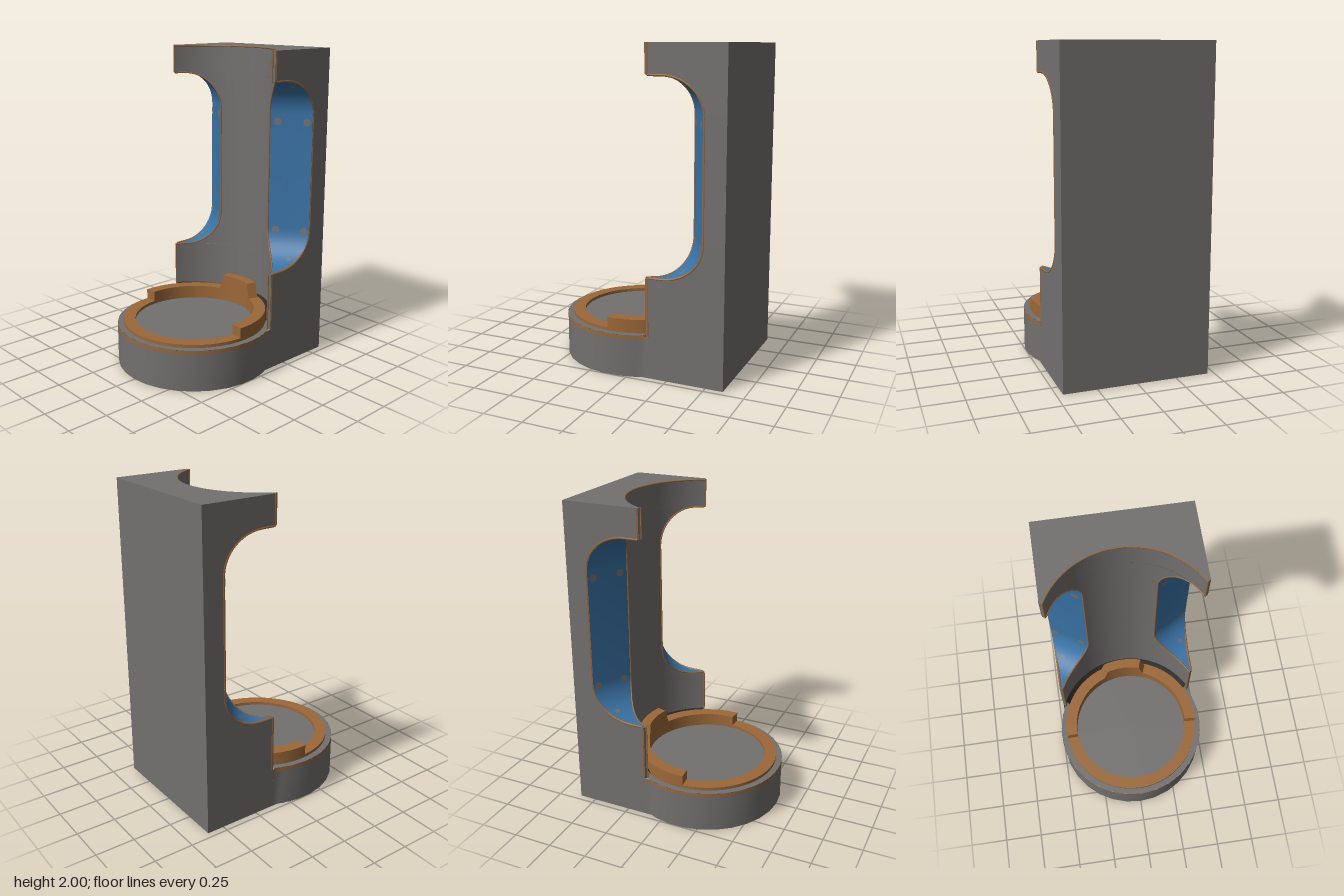
import * as THREE from 'three';
import { toCreasedNormals } from 'three/addons/utils/BufferGeometryUtils.js';

const mat = (name, color) => new THREE.MeshStandardMaterial({ name, color, side: THREE.DoubleSide });
const V = (x, y, z) => new THREE.Vector3(x, y, z);

const W = 0.46, BACK = -0.61, FRONT = -0.12, TOP = 2; // block limits
const CZ = 0.11, R = 0.495, FLOOR = 0.265; // cradle axis, cradle radius, base top
const S0 = 0.126, S1 = -0.176, FILLET = 0.23; // side cut-out depths, measured along its tilted normal
const C = Math.cos(Math.PI / 6), H = 0.5;

// Surface through rows of points
function loft(rows) {
  const n = rows[0].length, index = [];
  for (let i = 0; i < rows.length - 1; i++) {
    for (let j = 0; j < n - 1; j++) {
      const a = i * n + j, b = a + n;
      index.push(a, a + 1, b + 1, a, b + 1, b);
    }
  }
  const g = new THREE.BufferGeometry().setFromPoints(rows.flat());
  g.setIndex(index);
  g.computeVertexNormals();
  return g;
}

// Where the cut-out meets the outer side and the concave wall
const outerPoint = (s, y) => V(W, y, (s - H * W) / C);
function innerPoint(s, y) {
  const h = s - C * CZ, k = Math.sqrt(R * R - h * h);
  return V(H * h + C * k, y, CZ + C * h - H * k);
}

// Cut-out profile as [depth, height], bottom to top
function cutProfile() {
  const low = [[S0, 0.63]];
  for (let i = 0; i <= 12; i++) {
    const t = i / 12 * Math.PI / 2;
    low.push([S1 + FILLET * (1 - Math.sin(t)), 0.63 + FILLET * (1 - Math.cos(t))]);
  }
  return [...low, ...low.map(([s, y]) => [s, 2.45 - y]).reverse()];
}

// Ring sector centred on the back, lying flat and rising from y
function sector(r0, r1, half, y, height) {
  const s = new THREE.Shape();
  s.absarc(0, 0, r1, Math.PI / 2 - half, Math.PI / 2 + half, false);
  s.absarc(0, 0, r0, Math.PI / 2 + half, Math.PI / 2 - half, true);
  const g = new THREE.ExtrudeGeometry(s, { depth: height, bevelEnabled: false, curveSegments: 30 });
  return g.rotateX(-Math.PI / 2).translate(0, y, CZ);
}

export function createModel() {
  const model = new THREE.Group();
  model.name = 'cradleStand';
  const grey = mat('bodyGrey', 0x737170), orange = mat('trimOrange', 0x9c6838);
  const blue = mat('cutoutBlue', 0x3a73a6), dark = mat('charcoal', 0x2e2e2e);
  const add = (name, geometry, material) => {
    const m = new THREE.Mesh(geometry, material);
    m.name = name;
    model.add(m);
    return m;
  };
  const tube = (name, pts, r) => {
    const path = new THREE.CurvePath();
    for (let i = 1; i < pts.length; i++) path.add(new THREE.LineCurve3(pts[i - 1], pts[i]));
    add(name, new THREE.TubeGeometry(path, 160, r, 6), orange);
  };

  const cut = cutProfile();
  const full = [[S0, FLOOR], ...cut, [S0, TOP]];

  // Back wall
  add('backWall', loft([[V(W, 0, BACK), V(-W, 0, BACK)], [V(W, TOP, BACK), V(-W, TOP, BACK)]]), grey);

  // Concave front wall, narrowed by the cut-outs
  add('concaveWall', loft(full.map(([s, y]) => {
    const p = innerPoint(s, y), a = Math.atan2(p.x, CZ - p.z), row = [];
    for (let j = 0; j <= 32; j++) {
      const t = a * (j / 16 - 1);
      row.push(V(R * Math.sin(t), y, CZ - R * Math.cos(t)));
    }
    return row;
  })), grey);

  // Top with the concave edge
  const corner = innerPoint(S0, 0), a0 = Math.atan2(corner.x, CZ - corner.z);
  const top = new THREE.Shape();
  const rim = [];
  for (let j = 0; j <= 32; j++) {
    const t = a0 * (j / 16 - 1);
    rim.push(V(R * Math.sin(t), TOP - 0.005, CZ - R * Math.cos(t)));
  }
  top.setFromPoints([[W, -BACK], [-W, -BACK], [-W, -FRONT]].map(([x, y]) => new THREE.Vector2(x, y))
    .concat(rim.map(p => new THREE.Vector2(p.x, -p.z)), [new THREE.Vector2(W, -FRONT)]));
  add('topFace', new THREE.ShapeGeometry(top).rotateX(-Math.PI / 2).translate(0, TOP, 0), grey);
  tube('topTrim', rim, 0.005);

  for (const m of [1, -1]) {
    const side = m > 0 ? 'left' : 'right';
    const flip = p => V(p.x * m, p.y, p.z);

    // Side wall, cut-out lining and front edges
    const wallPoints = [[S0, 0], ...full];
    add(side + 'Wall', loft(wallPoints.map(([s, y]) => [V(W * m, y, BACK), flip(outerPoint(s, y))])), grey);
    add(side + 'Cutout', toCreasedNormals(
      loft(cut.map(([s, y]) => [flip(innerPoint(s, y)), flip(outerPoint(s, y))])), 0.6), blue);
    for (const [y0, y1] of [[FLOOR, 0.63], [1.82, TOP]]) {
      add(side + 'FrontEdge', loft([y0, y1].map(y => [flip(innerPoint(S0, y)), flip(outerPoint(S0, y))])), grey);
    }

    // Orange edging
    tube(side + 'OuterTrim', full.map(([s, y]) => flip(outerPoint(s, y).add(V(-0.005, 0, -0.008)))), 0.008);
    tube(side + 'InnerTrim', full.map(([s, y]) => flip(innerPoint(s, y))), 0.005);

    // Round spots on the cut-out lining
    const spots = [[0.27, 1.545], [0.43, 1.545], [0.27, 0.84], [0.43, 0.84], [0.41, 0.675], [0.41, 1.775]];
    for (const [x, y] of spots) {
      const yc = Math.min(Math.max(y, 0.86), 1.59), dy = (yc - y) / FILLET;
      const k = Math.sqrt(1 - dy * dy), s = S1 + FILLET * (1 - k);
      const normal = V(H * k * m, dy, C * k);
      const spot = add(side + 'Spot', new THREE.CircleGeometry(Math.abs(dy) > 0.5 ? 0.016 : 0.024, 16), grey);
      spot.position.set(x * m, y, (s - H * x) / C).addScaledVector(normal, 0.004);
      spot.lookAt(spot.position.clone().add(normal));
    }
  }

  // Base skirt, open below, with an orange band near its top
  const outline = [[-W, FRONT], [-W, -0.079]];
  for (let i = -9; i <= 9; i++) {
    const t = i * Math.PI / 15;
    outline.push([0.5 * Math.sin(t), CZ + 0.5 * Math.cos(t)]);
  }
  outline.push([W, -0.079], [W, FRONT]);
  const skirt = (name, y0, y1, material) =>
    add(name, loft([y0, y1].map(y => outline.map(([x, z]) => V(x, y, z)))), material);
  skirt('baseSkirt', 0, 0.24, grey);
  skirt('baseBand', 0.24, 0.26, orange);
  skirt('baseLip', 0.26, FLOOR, grey);

  // Floor and the dark ring beneath it
  add('floor', new THREE.CircleGeometry(0.5, 30).rotateX(-Math.PI / 2).translate(0, FLOOR, CZ), grey);
  add('underRing', new THREE.RingGeometry(0.385, 0.49, 60).rotateX(-Math.PI / 2).translate(0, 0.257, CZ), dark);

  // Seat ring: low all round, raised at the back, with a tapered tab
  add('seatRing', toCreasedNormals(sector(0.385, 0.46, Math.PI, FLOOR, 0.02), 0.5), orange);
  add('raisedRing', toCreasedNormals(sector(0.385, 0.46, Math.PI / 2 + 0.07, FLOOR, 0.085), 0.5), orange);
  const tab = sector(0.385, 0.45, 0.37, 0.35, 0.095), p = tab.attributes.position;
  for (let i = 0; i < p.count; i++) {
    if (p.getY(i) < 0.4) continue;
    const x = p.getX(i), z = p.getZ(i) - CZ, r = Math.hypot(x, z), t = Math.atan2(x, -z) * 0.8;
    p.setXYZ(i, r * Math.sin(t), p.getY(i), CZ - r * Math.cos(t));
  }
  add('backTab', toCreasedNormals(tab, 0.5), orange);

  // Dark sloping gap between ring and concave wall
  add('backGap', loft([[0.46, 0.275], [0.494, 0.345]].map(([r, y]) => {
    const row = [];
    for (let j = 0; j <= 32; j++) {
      const t = 1.09 * (j / 16 - 1);
      row.push(V(r * Math.sin(t), y, CZ - r * Math.cos(t)));
    }
    return row;
  })), dark);

  return model;
}
